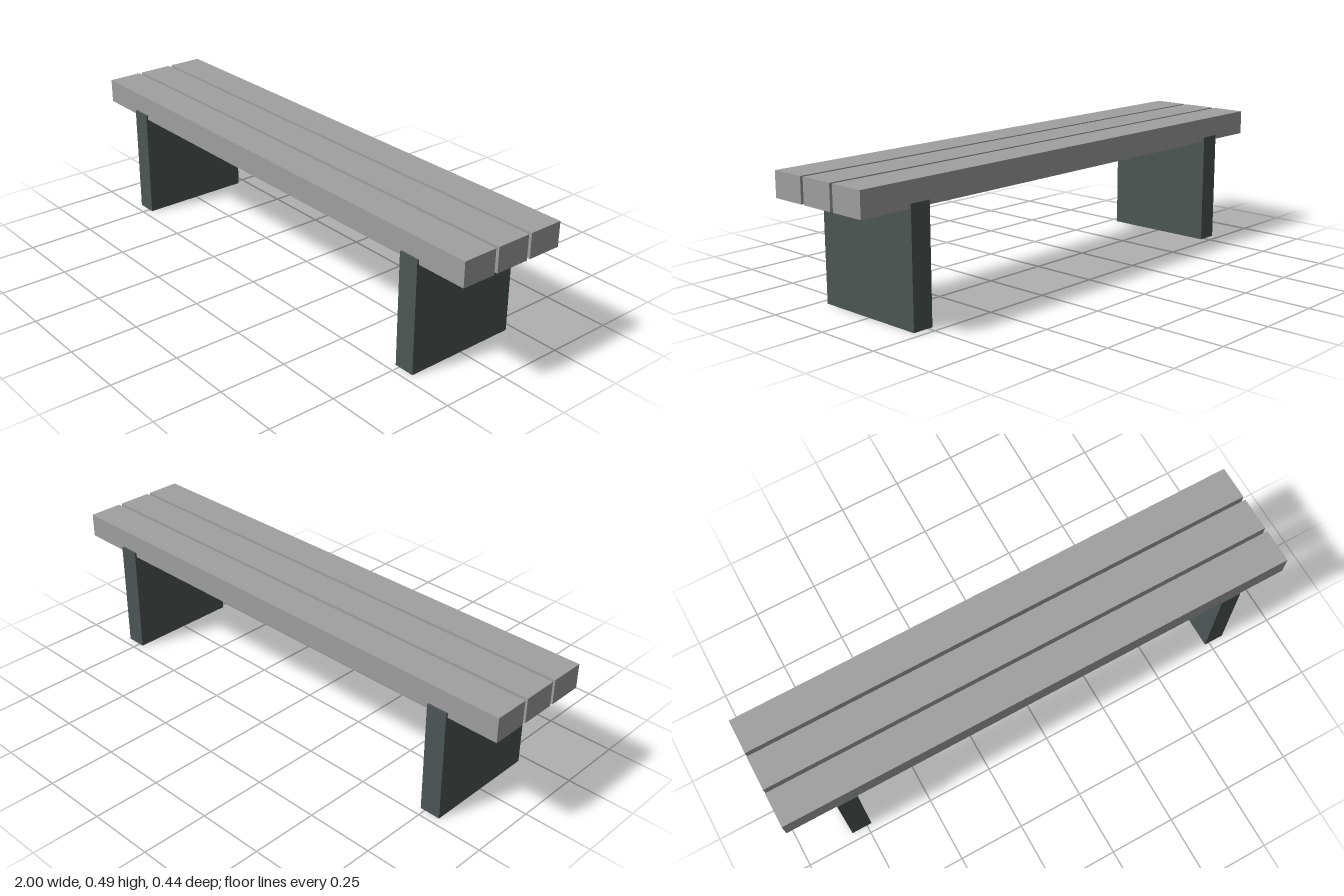
import * as THREE from 'three';

export function createModel() {
  const plankMaterial = new THREE.MeshStandardMaterial({ color: 0xa0a0a0 });
  plankMaterial.name = 'plank grey';
  const legMaterial = new THREE.MeshStandardMaterial({ color: 0x4d5755 });
  legMaterial.name = 'dark slate';

  const bench = new THREE.Group();
  bench.name = 'bench';

  function addBox(name, material, [w, h, d], [x, y, z]) {
    const mesh = new THREE.Mesh(new THREE.BoxGeometry(w, h, d), material);
    mesh.name = name;
    mesh.position.set(x, y, z);
    bench.add(mesh);
  }

  // Three seat planks with narrow gaps
  const bottom = 0.4, top = 0.491;
  ['backPlank', 'middlePlank', 'frontPlank'].forEach((name, i) => {
    addBox(name, plankMaterial, [2, top - bottom, 0.132], [0, (bottom + top) / 2, (i - 1) * 0.1455]);
  });

  // Slab legs, let slightly into the planks
  const legHeight = 0.418;
  for (const side of [-1, 1]) {
    addBox(side > 0 ? 'leftLeg' : 'rightLeg', legMaterial, [0.078, legHeight, 0.438], [side * 0.771, legHeight / 2, 0]);
  }

  return bench;
}
